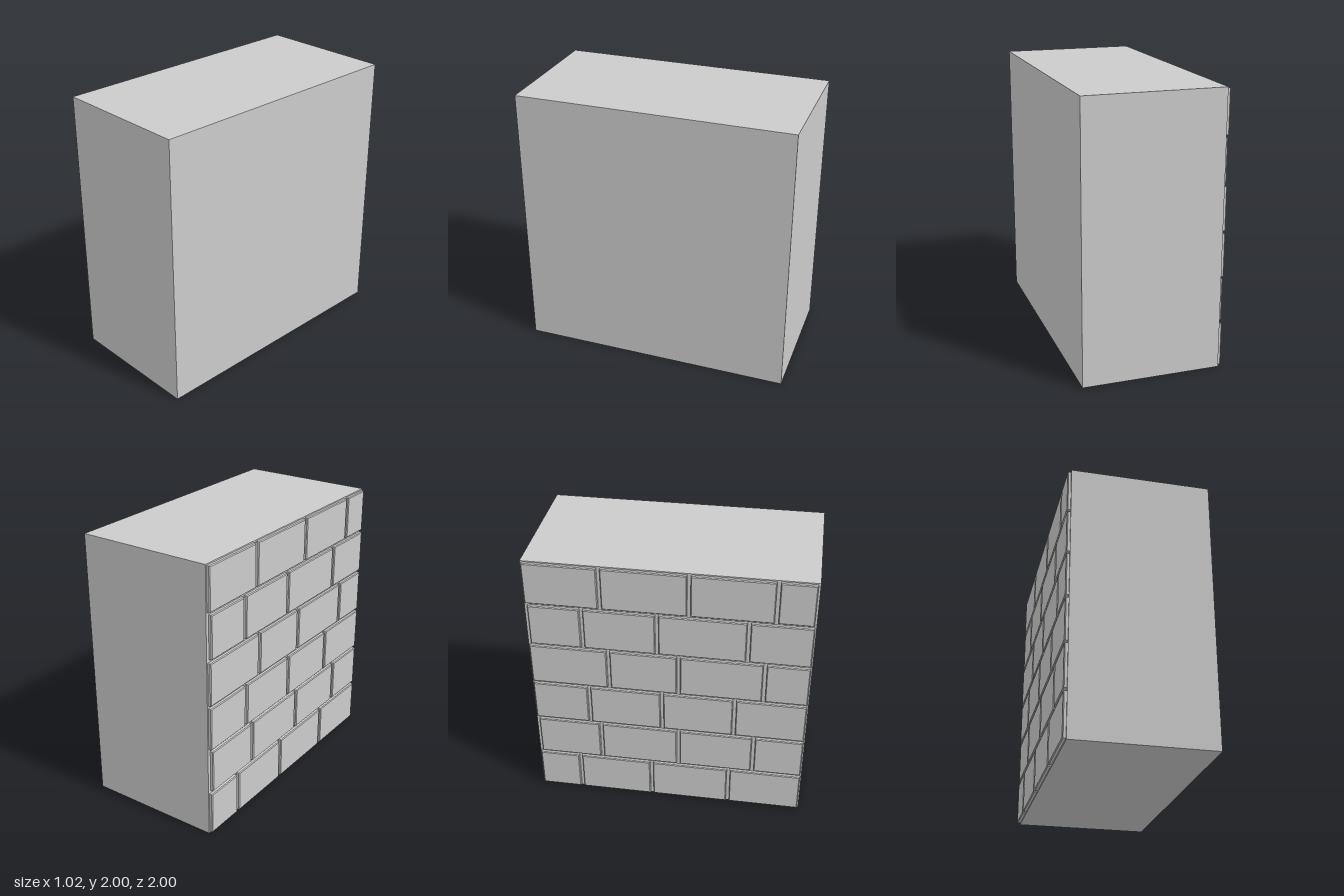
import * as THREE from 'three';

export function createModel() {
  const group = new THREE.Group();
  const material = new THREE.MeshStandardMaterial({ color: 0xcccccc, flatShading: true });

  // Solid wall block
  const wall = new THREE.Mesh(new THREE.BoxGeometry(1, 2, 2), material);
  wall.name = 'wallBlock';
  wall.position.set(0.012, 1, 0);
  group.add(wall);

  // Chamfered brick set into the wall's right (-x) face
  const faceX = -0.512, rootX = -0.47, chamfer = 0.006;
  function addBrick(parent, z0, z1, y0, y1) {
    const shape = new THREE.Shape([
      new THREE.Vector2(z0, y0), new THREE.Vector2(z1, y0),
      new THREE.Vector2(z1, y1), new THREE.Vector2(z0, y1),
    ]);
    const geometry = new THREE.ExtrudeGeometry(shape, {
      depth: rootX - faceX - chamfer,
      bevelEnabled: true, bevelSegments: 1,
      bevelSize: chamfer, bevelThickness: chamfer, bevelOffset: -chamfer,
    });
    geometry.rotateY(-Math.PI / 2);
    const brick = new THREE.Mesh(geometry, material);
    brick.name = 'brick';
    brick.position.x = rootX;
    parent.add(brick);
  }

  // Courses from the bottom up: back end, three joints, front end along z
  const courses = [
    [-0.99, -0.68, -0.13, 0.455, 0.99],
    [-0.975, -0.505, 0.075, 0.63, 0.99],
    [-0.99, -0.58, -0.045, 0.48, 0.99],
    [-0.99, -0.425, 0.075, 0.68, 0.99],
    [-0.975, -0.6, -0.075, 0.555, 0.99],
    [-0.99, -0.465, 0.145, 0.733, 0.985],
  ];
  const gap = 0.0125;
  courses.forEach((joints, row) => {
    const course = new THREE.Group();
    course.name = 'brickCourse';
    const y0 = row / 3 + 0.011, y1 = (row + 1) / 3 - 0.009;
    for (let i = 0; i < 4; i++) {
      const z0 = joints[i] + (i > 0 ? gap : 0);
      const z1 = joints[i + 1] - (i < 3 ? gap : 0);
      addBrick(course, z0, z1, y0, y1);
    }
    group.add(course);
  });
  return group;
}
